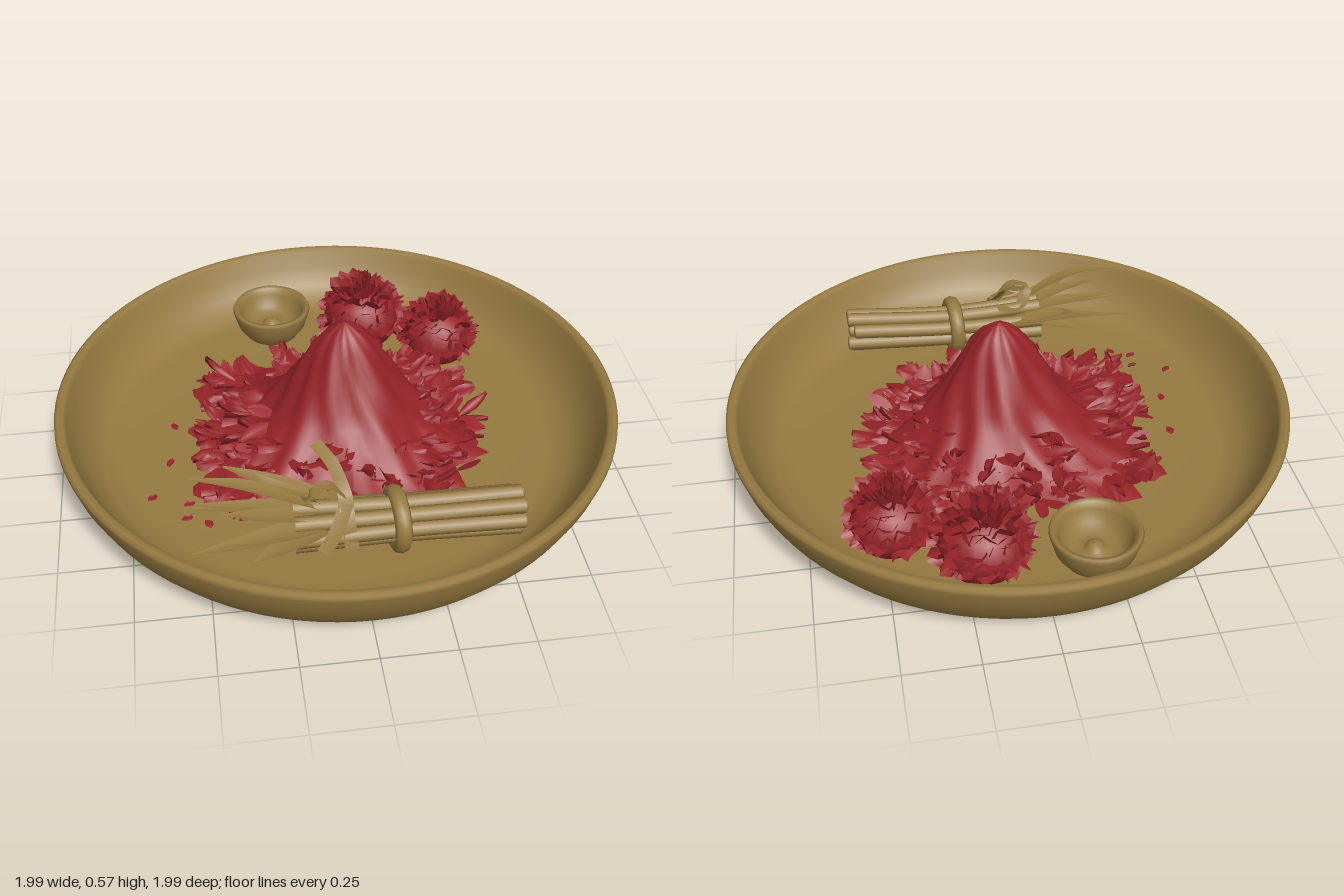
import * as THREE from 'three';
import { mergeGeometries } from 'three/addons/utils/BufferGeometryUtils.js';

const brass = new THREE.MeshStandardMaterial({ color: 0x957940, side: THREE.DoubleSide });
brass.name = 'brass';
const red = new THREE.MeshStandardMaterial({ color: 0x962328, side: THREE.DoubleSide });
red.name = 'red petals';

const FLOOR = 0.085;

// Small seeded random generator
let seed = 7;
const rnd = (a = 0, b = 1) => {
  seed = (seed * 16807) % 2147483647;
  return a + (b - a) * (seed / 2147483647);
};

const V = (p) => new THREE.Vector3(...p);

function part(group, name, geometry, material) {
  const mesh = new THREE.Mesh(geometry, material);
  mesh.name = name;
  group.add(mesh);
  return mesh;
}

function lathe(points, segments) {
  return new THREE.LatheGeometry(points.map(([r, y]) => new THREE.Vector2(r, y)), segments);
}

// Petal rooted at the origin and growing along +y; ruffled or pointed
function petal(length, width, pointed, ruffle, curl) {
  const g = new THREE.PlaneGeometry(1, 1, 4, 4);
  const p = g.attributes.position;
  for (let i = 0; i < p.count; i++) {
    const u = p.getX(i), v = p.getY(i) + 0.5;
    const w = pointed ? 0.12 + Math.sin(Math.PI * Math.min(1, v * 0.95)) : 0.25 + 0.75 * v;
    const edge = pointed ? 0 : Math.cos(u * Math.PI * 4) * 0.06 - u * u * 0.5;
    p.setXYZ(i, u * w * width, length * v * (1 + edge * v),
      length * (curl * v * v + ruffle * v * Math.sin(u * Math.PI * 3)));
  }
  g.computeVertexNormals();
  return g;
}

// Tilt a piece away from vertical, turn it and set it down
function place(g, [x, y, z], turn, tilt, twist = 0) {
  return g.rotateY(twist).rotateX(tilt).rotateY(turn).translate(x, y, z);
}

// Folded ribbon along a curve; widthAt(t) gives the half width
function ribbon(points, widthAt, fold = 0.3) {
  const curve = new THREE.CatmullRomCurve3(points.map(V));
  const n = 14, pos = [], idx = [];
  for (let i = 0; i <= n; i++) {
    const t = i / n, c = curve.getPoint(t), w = widthAt(t);
    const side = curve.getTangent(t).cross(new THREE.Vector3(0, 1, 0)).normalize();
    for (const s of [-1, 0, 1]) {
      pos.push(c.x + side.x * s * w, c.y + side.y * s * w + Math.abs(s) * w * fold, c.z + side.z * s * w);
    }
    if (i < n) {
      for (const k of [0, 1]) {
        const a = i * 3 + k;
        idx.push(a, a + 1, a + 3, a + 1, a + 4, a + 3);
      }
    }
  }
  const g = new THREE.BufferGeometry();
  g.setAttribute('position', new THREE.Float32BufferAttribute(pos, 3));
  g.setIndex(idx);
  g.computeVertexNormals();
  return g;
}

// Squarish outline shared by the mound skirt and the scattered petals
const squarish = (a) => 1 / Math.pow(Math.cos(a) ** 4 + Math.sin(a) ** 4, 0.25);

function mound() {
  const g = lathe([[0.56, FLOOR - 0.01], [0.47, 0.1], [0.37, 0.14], [0.29, 0.2], [0.235, 0.26], [0.2, 0.31],
    [0.165, 0.37], [0.13, 0.43], [0.1, 0.49], [0.06, 0.54], [0.025, 0.565], [0, 0.575]], 72);
  const p = g.attributes.position;
  for (let i = 0; i < p.count; i++) {
    const x = p.getX(i), y = p.getY(i), z = p.getZ(i);
    const a = Math.atan2(z, x), r = Math.hypot(x, z);
    const skirt = THREE.MathUtils.smoothstep(r, 0.2, 0.5);
    const lump = 1 + 0.05 * Math.sin(a * 5 + y * 9) + 0.03 * Math.sin(a * 11 - y * 21)
      + 0.06 * skirt * Math.sin(a * 17 + 1);
    const k = lump * (1 + skirt * (squarish(a) - 1) * 0.8) * (1 - 0.1 * skirt);
    p.setXYZ(i, x * k * 1.04 + 0.03 * (1 - skirt), y + 0.012 * skirt * Math.sin(x * 40) * Math.cos(z * 37), z * k * 0.95);
  }
  g.computeVertexNormals();
  return g;
}

function loosePetals() {
  const list = [];
  for (let i = 0; i < 330; i++) {
    const a = rnd(0, Math.PI * 2), f = Math.sqrt(rnd(0.2, 1));
    const r = f * 0.46 * squarish(a);
    const x = r * Math.cos(a), z = r * Math.sin(a) * 0.9;
    const y = FLOOR + 0.012 + Math.max(0, 0.36 - r) * 0.7 + rnd(0, 0.035);
    const outward = Math.atan2(x, z) + rnd(-1.1, 1.1);
    const g = petal(rnd(0.07, 0.14), rnd(0.03, 0.07), true, rnd(-0.15, 0.15), rnd(-0.25, 0.15));
    list.push(place(g, [x, y, z], outward, rnd(1.2, 1.65), rnd(-0.5, 0.5)));
  }
  // Crumbs lying away from the heap
  for (const [x, z] of [[-0.69, 0.29], [-0.58, 0.4], [-0.57, 0.33], [-0.6, 0.08], [-0.5, 0.41], [-0.58, -0.08]]) {
    list.push(place(petal(0.04, 0.025, true, 0.1, 0.1), [x, FLOOR + 0.012, z], rnd(0, 6), 1.5));
  }
  return mergeGeometries(list);
}

function flower(name, x, z, radius, top) {
  const group = new THREE.Group();
  group.name = name;
  const cy = top - radius * 1.02;
  part(group, 'flowerBase', lathe([[0, FLOOR - 0.01], [radius * 0.7, FLOOR - 0.01], [radius * 0.88, cy],
    [radius * 0.7, cy + radius * 0.5], [0, cy + radius * 0.72]], 20), red);
  const petals = [];
  [[1.8, 15], [1.5, 15], [1.2, 13], [0.9, 11], [0.6, 9], [0.32, 6], [0.08, 3]].forEach(([tilt, n], ring) => {
    for (let i = 0; i < n; i++) {
      const turn = (i + ring * 0.5) / n * Math.PI * 2 + rnd(-0.15, 0.15);
      const g = petal(radius * rnd(0.92, 1.08), radius * 0.58, false, rnd(0.06, 0.13), rnd(-0.16, 0.08));
      petals.push(place(g, [0, cy, 0], turn, tilt + rnd(-0.1, 0.1), rnd(-0.5, 0.5)));
    }
  });
  part(group, 'ruffledPetals', mergeGeometries(petals), red);
  group.position.set(x, 0, z);
  return group;
}

function leafBundle() {
  const group = new THREE.Group();
  group.name = 'leafBundle';
  // Stems packed around a shared axis
  const stems = [];
  for (let i = 0; i < 8; i++) {
    const a = i / 7 * Math.PI * 2, r = i === 7 ? 0 : 0.058;
    const dy = Math.sin(a) * r, dz = Math.cos(a) * r, end = rnd(0.5, 0.54);
    const curve = new THREE.CatmullRomCurve3([[end, 0.2 + dy, 0.6 + dz], [0.12, 0.19 + dy * 0.9, 0.58 + dz],
      [-0.22, 0.2 + dy, 0.58 + dz * 1.3]].map(V));
    stems.push(new THREE.TubeGeometry(curve, 10, 0.027, 8));
    stems.push(new THREE.SphereGeometry(0.027, 8, 6).scale(0.3, 1, 1).translate(end, 0.2 + dy, 0.6 + dz));
  }
  part(group, 'stems', mergeGeometries(stems), brass);

  // Pointed leaves fanning out: tip x, y, z
  const tips = [[-0.57, 0.23, 0.49], [-0.53, 0.3, 0.55], [-0.55, 0.2, 0.67], [-0.47, 0.26, 0.71], [-0.36, 0.24, 0.77],
    [-0.43, 0.31, 0.39], [-0.33, 0.3, 0.43], [-0.5, 0.16, 0.61], [-0.45, 0.32, 0.63], [-0.38, 0.17, 0.5]];
  const blade = (t) => 0.004 + 0.034 * Math.sin(Math.PI * Math.pow(t, 0.8));
  const leaves = tips.map(([x, y, z]) => ribbon([[-0.06, 0.22, 0.56 + (z - 0.58) * 0.3],
    [-0.25, 0.22 + (y - 0.22) * 0.5, 0.58 + (z - 0.58) * 0.65], [x, y, z]], blade));
  leaves.push(ribbon([[-0.12, 0.25, 0.58], [-0.24, 0.33, 0.59], [-0.38, 0.39, 0.58], [-0.54, 0.41, 0.55]],
    (t) => 0.003 + 0.026 * Math.sin(Math.PI * t)));
  part(group, 'leaves', mergeGeometries(leaves), brass);

  // Binding ring and knotted strap
  const tie = part(group, 'binding', new THREE.TorusGeometry(0.093, 0.022, 8, 28), brass);
  tie.position.set(0.12, 0.19, 0.585);
  tie.rotation.y = Math.PI / 2 + 0.08;
  tie.scale.z = 1.3;
  const flat = () => 0.024;
  part(group, 'strap', mergeGeometries([
    ribbon([[-0.04, 0.16, 0.68], [-0.05, 0.27, 0.63], [-0.05, 0.3, 0.57], [-0.08, 0.38, 0.51], [-0.13, 0.42, 0.44]], flat, 0.1),
    ribbon([[-0.05, 0.3, 0.57], [-0.11, 0.36, 0.58], [-0.17, 0.33, 0.6], [-0.14, 0.27, 0.55], [-0.05, 0.28, 0.53]], flat, 0.1),
    ribbon([[-0.05, 0.29, 0.6], [-0.09, 0.25, 0.68], [-0.14, 0.22, 0.74]], flat, 0.1),
  ]), brass);
  return group;
}

export function createModel() {
  const model = new THREE.Group();
  model.name = 'offeringPlate';

  // Shallow plate with a rounded rim
  part(model, 'plate', lathe([[0, 0.005], [0.5, 0.01], [0.78, 0.022], [0.85, 0.035], [0.9, 0.068], [0.945, 0.13],
    [0.978, 0.2], [0.996, 0.262], [0.995, 0.279], [0.984, 0.287], [0.965, 0.285], [0.955, 0.272], [0.935, 0.22],
    [0.895, 0.15], [0.84, 0.105], [0.77, 0.088], [0.5, FLOOR], [0, FLOOR]], 96), brass);

  // Little cup with a central knob
  const cup = part(model, 'cup', lathe([[0, FLOOR - 0.005], [0.1, FLOOR - 0.005], [0.135, 0.13], [0.154, 0.195],
    [0.148, 0.208], [0.132, 0.205], [0.122, 0.18], [0.105, 0.135], [0.08, 0.118], [0.04, 0.115], [0.032, 0.132],
    [0.018, 0.142], [0, 0.145]], 40), brass);
  cup.position.set(-0.17, 0, -0.68);

  part(model, 'petalMound', mound(), red);
  part(model, 'loosePetals', loosePetals(), red);
  model.add(flower('largeFlower', 0.19, -0.63, 0.172, 0.345));
  model.add(flower('smallFlower', 0.47, -0.47, 0.16, 0.325));
  model.add(leafBundle());
  return model;
}
